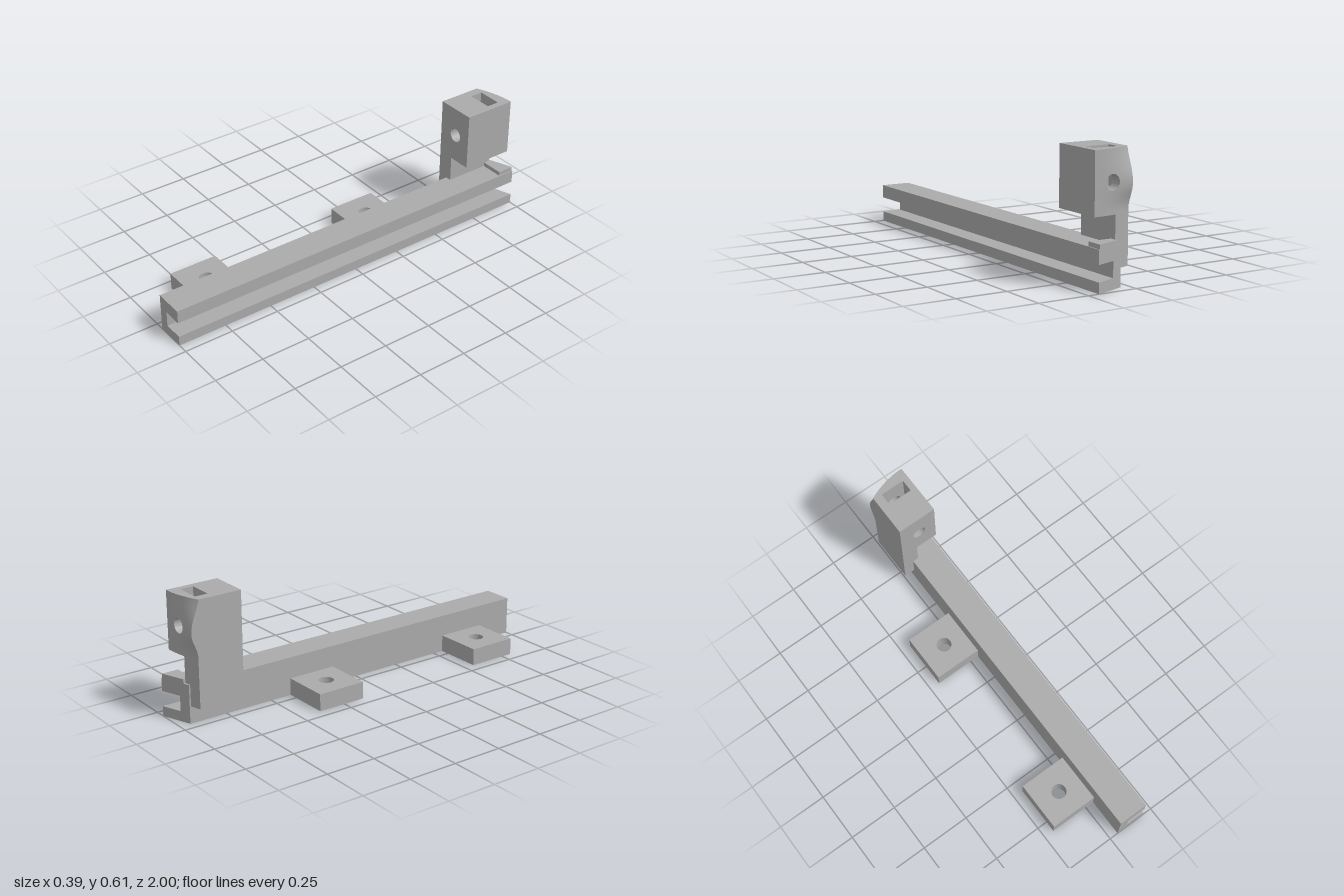
import * as THREE from 'three';
import { toCreasedNormals } from 'three/addons/utils/BufferGeometryUtils.js';

const grey = new THREE.MeshStandardMaterial({ color: 0xaaaaaa });
grey.name = 'plain grey';

const HOLE = { x: 0.097, y: 0.465, r: 0.036 };
const HEAD = { x0: -0.01, x1: 0.192, y0: 0.323, y1: 0.61 };

// Slanted rear end shared by the rail and the stop ridge
const railEnd = (x) => -1 + 0.36 * (0.197 - x);

// Softly dished rear of the post: the outer edge recedes above and below the hole
function postBack(x, y) {
  const s = THREE.MathUtils.smoothstep;
  const recess = 0.004 + 0.044 * s(y, 0.46, 0.64) / s(0.61, 0.46, 0.64) + 0.031 * (1 - s(y, 0.34, 0.45));
  const t = THREE.MathUtils.clamp((x - HEAD.x0) / (HEAD.x1 - HEAD.x0), 0, 1);
  return -0.957 + recess * Math.pow(1 - t, 2);
}

function polygon(points) {
  return new THREE.Shape(points.map(([x, y]) => new THREE.Vector2(x, y)));
}

function addHole(shape, x, y, r) {
  const hole = new THREE.Path();
  hole.absarc(x, y, r, 0, Math.PI * 2, true);
  shape.holes.push(hole);
  return shape;
}

function extrude(shape, z0, z1) {
  const g = new THREE.ExtrudeGeometry(shape, { depth: z1 - z0, bevelEnabled: false, curveSegments: 24 });
  return g.translate(0, 0, z0);
}

// Moves vertices lying at or behind z = limit onto a rear surface
function shapeBack(g, limit, rule) {
  const p = g.attributes.position;
  for (let i = 0; i < p.count; i++) {
    if (p.getZ(i) <= limit) p.setZ(i, rule(p.getX(i), p.getY(i)));
  }
  g.computeVertexNormals();
  return g;
}

// Rear wall of the head: a closed section swept around the bolt hole
function headRear(zFront) {
  const { x0, x1, y0, y1 } = HEAD;
  const corners = [[x0, y0], [x1, y0], [x1, y1], [x0, y1]];
  const rim = [];
  const n = 14;
  corners.forEach(([ax, ay], k) => {
    const [bx, by] = corners[(k + 1) % 4];
    for (let i = 0; i < n; i++) rim.push([ax + (bx - ax) * i / n, ay + (by - ay) * i / n]);
  });
  const steps = 10;
  const rows = steps + 3;
  const pos = [];
  const index = [];
  for (let i = 0; i < rows; i++) {
    const t = THREE.MathUtils.clamp((i - 1) / steps, 0, 1);
    for (const [rx, ry] of rim) {
      const a = Math.atan2(ry - HOLE.y, rx - HOLE.x);
      const hx = HOLE.x + HOLE.r * Math.cos(a);
      const hy = HOLE.y + HOLE.r * Math.sin(a);
      const x = hx + (rx - hx) * t;
      const y = hy + (ry - hy) * t;
      pos.push(x, y, i === 0 || i === rows - 1 ? zFront : postBack(x, y));
    }
  }
  const m = rim.length;
  for (let i = 0; i < rows; i++) {
    for (let j = 0; j < m; j++) {
      const i2 = (i + 1) % rows;
      const j2 = (j + 1) % m;
      const a = i * m + j, b = i * m + j2, c = i2 * m + j2, d = i2 * m + j;
      index.push(a, b, c, a, c, d);
    }
  }
  const g = new THREE.BufferGeometry();
  g.setAttribute('position', new THREE.Float32BufferAttribute(pos, 3));
  g.setIndex(index);
  return toCreasedNormals(g, 0.6);
}

export function createModel() {
  const group = new THREE.Group();
  const add = (name, geometry, parent = group) => {
    const mesh = new THREE.Mesh(geometry, grey);
    mesh.name = name;
    parent.add(mesh);
  };

  // Channel rail, open towards +x
  const channel = polygon([
    [0.045, 0], [0.197, 0], [0.197, 0.05], [0.097, 0.05],
    [0.097, 0.126], [0.197, 0.126], [0.197, 0.192], [0.045, 0.192],
  ]);
  add('channelRail', shapeBack(extrude(channel, -1, 1), -0.99, railEnd));

  // Low ridge on the rear of the rail
  const ridge = polygon([[0.075, 0.185], [0.192, 0.185], [0.192, 0.213], [0.075, 0.213]]);
  add('stopRidge', shapeBack(extrude(ridge, -1, -0.914), -0.99, railEnd));

  // Mounting tabs with screw holes
  for (const z of [-0.265, 0.68]) {
    const tab = addHole(polygon([
      [-0.198, -z - 0.125], [0.045, -z - 0.125], [0.045, -z + 0.125], [-0.198, -z + 0.125],
    ]), -0.073, -z, 0.037);
    add('mountingTab', extrude(tab, 0, 0.085).rotateX(-Math.PI / 2));
  }

  // Post: arm below, head above
  const post = new THREE.Group();
  post.name = 'post';
  group.add(post);
  const armHeight = HEAD.y0 - 0.085;
  const arm = new THREE.BoxGeometry(0.085, armHeight, 0.27, 8, 10, 1);
  arm.translate(0.0325, 0.085 + armHeight / 2, -0.822);
  add('postArm', toCreasedNormals(shapeBack(arm, -0.95, postBack), 0.6), post);

  // Head in three layers, so that the nut slot opens at the top
  const { x0, x1, y0, y1 } = HEAD;
  const block = addHole(polygon([[x0, y0], [x1, y0], [x1, y1], [x0, y1]]), HOLE.x, HOLE.y, HOLE.r);
  add('headFront', extrude(block, -0.835, -0.687), post);
  const slotted = polygon([
    [x0, y0], [x1, y0], [x1, y1], [0.16, y1], [0.16, 0.43],
    [HOLE.x, 0.395], [0.035, 0.43], [0.035, y1], [x0, y1],
  ]);
  add('headSlot', extrude(slotted, -0.9, -0.835), post);
  add('headRear', headRear(-0.9), post);

  return group;
}
